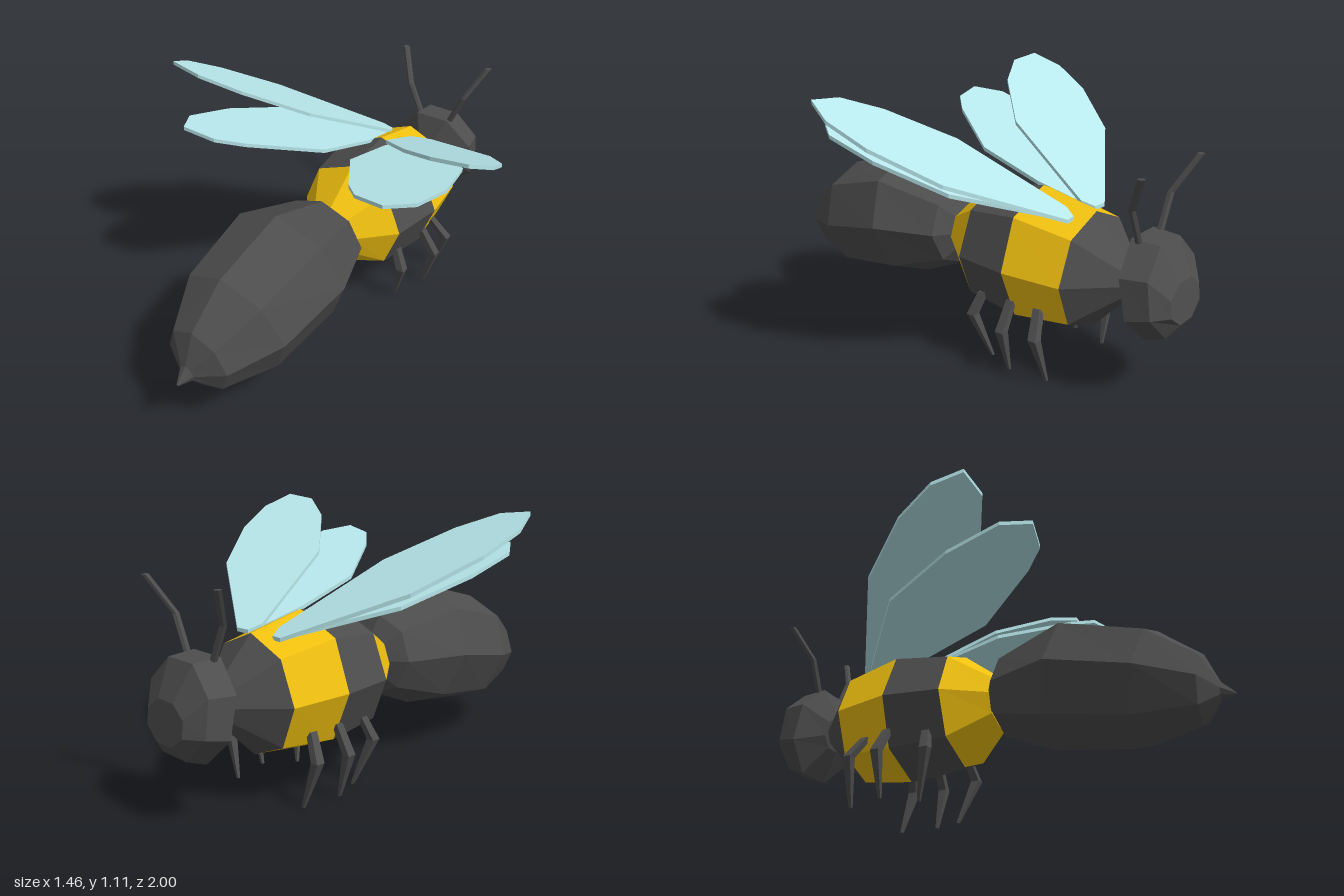
import * as THREE from 'three';

const DARK = 0x4d4d4d, YELLOW = 0xf0c010, WING = 0xb8e8ec;
const CX = -0.007; // body axis

function makeMesh(name, geometry, color) {
  const material = new THREE.MeshStandardMaterial({ color, flatShading: true });
  const mesh = new THREE.Mesh(geometry, material);
  mesh.name = name;
  return mesh;
}

// Skin a list of equal-sized point rings and close both ends.
function loft(rings) {
  const pos = [];
  const tri = (...pts) => pts.forEach((p) => pos.push(p.x, p.y, p.z));
  const middle = (ring) =>
    ring.reduce((sum, p) => sum.add(p), new THREE.Vector3()).divideScalar(ring.length);
  const n = rings[0].length;
  const first = rings[0], last = rings[rings.length - 1];
  const c0 = middle(first), c1 = middle(last);
  for (let i = 0; i < n; i++) {
    const j = (i + 1) % n;
    for (let k = 0; k < rings.length - 1; k++) {
      const a = rings[k], b = rings[k + 1];
      tri(a[i], a[j], b[j]);
      tri(a[i], b[j], b[i]);
    }
    tri(c0, first[j], first[i]);
    tri(c1, last[i], last[j]);
  }
  const geometry = new THREE.BufferGeometry();
  geometry.setAttribute('position', new THREE.Float32BufferAttribute(pos, 3));
  geometry.computeVertexNormals();
  return geometry;
}

// Eight-sided body ring leaning from a top point to a bottom point.
function bodyRing([topZ, topY, botZ, botY, halfWidth], flatTop = false) {
  const phase = flatTop ? Math.PI / 8 : 0;
  const grow = flatTop ? 1 / Math.cos(phase) : 1;
  return Array.from({ length: 8 }, (_, i) => {
    const a = (i / 8) * Math.PI * 2 + phase;
    const s = Math.sin(a) * grow, t = (1 + s) / 2;
    return new THREE.Vector3(
      CX + Math.cos(a) * grow * halfWidth,
      botY + (topY - botY) * t,
      botZ + (topZ - botZ) * t
    );
  });
}

// Tapered limb through [x, y, z, radius] points, listed from top to bottom.
function limb(points, side, sides) {
  return loft(points.map(([x, y, z, r]) =>
    Array.from({ length: sides }, (_, i) => {
      const a = ((i + 0.5) / sides) * Math.PI * 2;
      return new THREE.Vector3(CX + side * x + r * Math.cos(a), y, z + r * Math.sin(a));
    })));
}

// Thin wing: outline in [x, z], raised onto a sloping plane y = a + b|x| + cz.
function wing(outline, [a, b, c], side) {
  const shape = new THREE.Shape(outline.map(([x, z]) => new THREE.Vector2(side * x, -z)));
  const geometry = new THREE.ExtrudeGeometry(shape, { depth: 0.016, bevelEnabled: false });
  geometry.rotateX(-Math.PI / 2);
  const p = geometry.attributes.position;
  for (let i = 0; i < p.count; i++) {
    const lift = side < 0 ? 0.015 * Math.abs(p.getX(i)) : 0;
    p.setY(i, p.getY(i) - 0.008 + a + b * Math.abs(p.getX(i)) + c * p.getZ(i) + lift);
  }
  geometry.computeVertexNormals();
  return geometry;
}

export function createModel() {
  const model = new THREE.Group();
  model.name = 'bee';

  // Abdomen, ending in the stinger
  const abdomen = [
    [0.045, 0.555, 0.03, 0.36, 0.11],
    [0.1, 0.63, 0.065, 0.29, 0.19],
    [0.4, 0.725, 0.285, 0.195, 0.285],
    [0.73, 0.63, 0.62, 0.15, 0.25],
    [0.9, 0.49, 0.87, 0.205, 0.145],
    [0.95, 0.365, 0.945, 0.295, 0.035],
    [1.0, 0.315, 1.0, 0.305, 0.004],
  ];
  model.add(makeMesh('abdomen', loft(abdomen.map((r) => bodyRing(r))), DARK));

  // Striped thorax, one band between each pair of rings
  const thorax = [
    [-0.77, 0.49, -0.77, 0.36, 0.07],
    [-0.6, 0.67, -0.6, 0.185, 0.245],
    [-0.35, 0.725, -0.37, 0.155, 0.285],
    [-0.12, 0.69, -0.12, 0.185, 0.25],
    [0.045, 0.56, 0.04, 0.335, 0.115],
  ].map((r) => bodyRing(r));
  for (let i = 0; i < 4; i++) {
    model.add(makeMesh('thoraxBand' + (i + 1), loft([thorax[i], thorax[i + 1]]),
      i % 2 ? YELLOW : DARK));
  }

  // Tilted head
  const head = [
    [-0.985, 0.49, -1.0, 0.33, 0.11],
    [-0.915, 0.625, -0.96, 0.275, 0.18],
    [-0.8, 0.63, -0.88, 0.245, 0.2],
    [-0.75, 0.51, -0.79, 0.365, 0.08],
  ];
  model.add(makeMesh('head', loft(head.map((r) => bodyRing(r, true))), DARK));

  const foreOutline = [
    [0.05, -0.5], [0.075, -0.55], [0.13, -0.56], [0.54, -0.3], [0.69, -0.08],
    [0.73, 0.08], [0.69, 0.2], [0.545, 0.21], [0.39, 0.13], [0.19, -0.07],
  ];
  const hindOutline = [
    [0.055, -0.46], [0.08, -0.55], [0.12, -0.54], [0.45, -0.25], [0.54, 0.05],
    [0.545, 0.28], [0.47, 0.39], [0.335, 0.365], [0.25, 0.28], [0.065, 0.0], [0.04, -0.3],
  ];
  // [name, hip, knee, foot] with [x, y, z, radius]
  const legs = [
    ['frontLeg', [0.2, 0.3, -0.48, 0.022], [0.27, 0.2, -0.513, 0.026], [0.205, 0.005, -0.53, 0.008]],
    ['middleLeg', [0.22, 0.31, -0.365, 0.022], [0.29, 0.2, -0.37, 0.026], [0.24, 0.015, -0.373, 0.008]],
    ['rearLeg', [0.19, 0.29, -0.2, 0.022], [0.235, 0.2, -0.18, 0.026], [0.172, 0.005, -0.235, 0.008]],
  ];

  for (const [side, label] of [[1, 'left'], [-1, 'right']]) {
    // Wings
    model.add(makeMesh(label + 'ForeWing', wing(foreOutline, [0.909, 0.134, 0.485], side), WING));
    model.add(makeMesh(label + 'HindWing', wing(hindOutline, [0.795, 0.1, 0.277], side), WING));
    // Legs
    for (const [name, ...points] of legs) {
      model.add(makeMesh(label + name[0].toUpperCase() + name.slice(1), limb(points, side, 4), DARK));
    }
    // Bent antenna
    const antenna = [
      [0.222, 0.905, -0.902, 0.015], [0.145, 0.76, -0.83, 0.015], [0.065, 0.59, -0.83, 0.015],
    ];
    model.add(makeMesh(label + 'Antenna', limb(antenna, side, 6), DARK));
  }
  return model;
}
